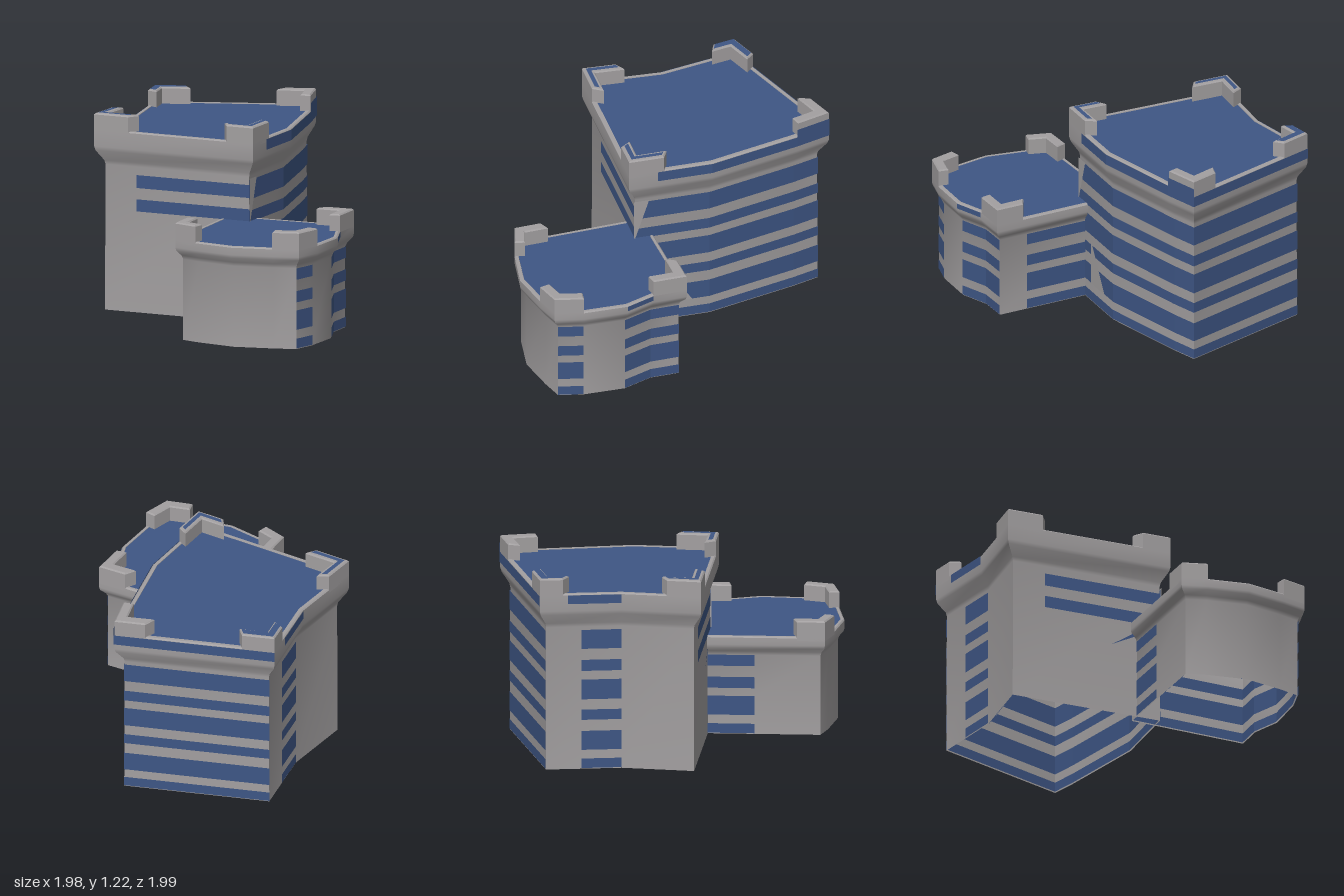
import * as THREE from 'three';
import { mergeGeometries, toCreasedNormals } from 'three/addons/utils/BufferGeometryUtils.js';

const stone = new THREE.MeshStandardMaterial({ color: 0xa3a0a1, side: THREE.DoubleSide });
stone.name = 'greyStone';
const blue = new THREE.MeshStandardMaterial({ color: 0x3e5685, side: THREE.DoubleSide });
blue.name = 'blueBrick';

// Outlines of the parapets as [x, z], starting at the front left corner seen from the front
const KEEP = [[-0.79, 0.43], [0.27, 0.28], [0.2, -0.24], [-0.02, -0.79], [-0.115, -0.995], [-0.99, -0.53], [-0.83, -0.06]];
const BASTION = [[0.16, 0.97], [0.32, 0.99], [0.58, 0.99], [0.82, 0.9], [0.97, 0.83], [0.985, 0.65], [0.95, 0.38], [0.855, 0.21], [0.82, 0], [0.005, 0.16]];
const WALL = 0.05; // how far the walls stand behind the parapet

const at = (poly, i) => poly[(i + poly.length) % poly.length];
const mix = (a, b, t) => [a[0] + (b[0] - a[0]) * t, a[1] + (b[1] - a[1]) * t];

function edge(poly, i) {
  const a = at(poly, i), b = at(poly, i + 1);
  const dx = b[0] - a[0], dz = b[1] - a[1], length = Math.hypot(dx, dz);
  return { a, b, length, n: [-dz / length, dx / length] };
}

// Mitred inward offset of an outline
function inset(poly, d) {
  return poly.map((p, i) => {
    const m = edge(poly, i - 1).n, n = edge(poly, i).n;
    const k = d / (1 + m[0] * n[0] + m[1] * n[1]);
    return [p[0] - (m[0] + n[0]) * k, p[1] - (m[1] + n[1]) * k];
  });
}

function toGeometry(positions) {
  const g = new THREE.BufferGeometry();
  g.setAttribute('position', new THREE.Float32BufferAttribute(positions, 3));
  g.computeVertexNormals();
  return g;
}

// Walls and parapet: rings of [inset, y] joined from bottom to top
function loft(poly, rings) {
  const pos = [];
  for (let r = 0; r < rings.length - 1; r++) {
    const lo = inset(poly, rings[r][0]), hi = inset(poly, rings[r + 1][0]);
    const y0 = rings[r][1], y1 = rings[r + 1][1];
    poly.forEach((_, i) => {
      const a = at(lo, i), b = at(lo, i + 1), c = at(hi, i + 1), d = at(hi, i);
      pos.push(a[0], y0, a[1], b[0], y0, b[1], c[0], y1, c[1]);
      pos.push(a[0], y0, a[1], c[0], y1, c[1], d[0], y1, d[1]);
    });
  }
  return toCreasedNormals(toGeometry(pos), 0.7);
}

// Flat painted face on wall i, given by corners [fraction along the wall, y]
function patch(poly, i, d, corners) {
  const ring = inset(poly, d), a = at(ring, i), b = at(ring, i + 1), pos = [];
  const point = ([t, y]) => { const p = mix(a, b, t); return [p[0], y, p[1]]; };
  for (let k = 1; k < corners.length - 1; k++)
    pos.push(...point(corners[0]), ...point(corners[k]), ...point(corners[k + 1]));
  return toGeometry(pos);
}
const rect = (t0, t1, y0, y1) => [[t0, y0], [t1, y0], [t1, y1], [t0, y1]];
const bands = (poly, i, d, ys, t0 = 0, t1 = 1) => ys.map(([y0, y1]) => patch(poly, i, d, rect(t0, t1, y0, y1)));

const flat = pts => new THREE.Shape(pts.map(([x, z]) => new THREE.Vector2(x, -z)));
const lay = (g, y) => g.rotateX(-Math.PI / 2).translate(0, y, 0);

// L-shaped outline around corner i
function corner(poly, i, back, fwd, thick, margin = 0) {
  const outer = inset(poly, margin), inner = inset(poly, thick - margin);
  const e = edge(poly, i - 1), f = edge(poly, i);
  const tb = 1 - (back - margin) / e.length, tf = (fwd - margin) / f.length;
  const pick = (r, j, t) => mix(at(r, j), at(r, j + 1), t);
  return flat([pick(outer, i - 1, tb), at(outer, i), pick(outer, i, tf),
    pick(inner, i, tf), at(inner, i), pick(inner, i - 1, tb)]);
}

function merlon(poly, [i, back, fwd], y0, y1) {
  const b = 0.008;
  const g = new THREE.ExtrudeGeometry(corner(poly, i, back, fwd, 0.065), {
    depth: y1 - y0 - 2 * b, bevelThickness: b, bevelSize: b, bevelOffset: -b, bevelSegments: 1 });
  return lay(g, y0 + b);
}

function add(group, name, geometry, material) {
  const m = new THREE.Mesh(Array.isArray(geometry) ? mergeGeometries(geometry) : geometry, material);
  m.name = name;
  group.add(m);
}

function tower(name, poly, rings, roofY, top, merlons) {
  const g = new THREE.Group();
  g.name = name;
  add(g, 'wallsAndParapet', loft(poly, rings), stone);
  add(g, 'roof', lay(new THREE.ShapeGeometry(flat(inset(poly, 0.025))), roofY), blue);
  merlons.forEach(m => add(g, 'cornerMerlon', merlon(poly, m, roofY - 0.03, top), stone));
  return g;
}

export function createModel() {
  const model = new THREE.Group();
  model.name = 'castle';
  const low = [[0.005, 0.065], [0.12, 0.24]];
  const keepBands = [...low, [0.31, 0.375], [0.44, 0.565], [0.62, 0.69], [0.76, 0.88]];
  const bastionBands = [...low, [0.29, 0.36], [0.43, 0.5]];
  const out = WALL - 0.004, inside = WALL + 0.004;

  // Tall tower
  const keepMerlons = [[0, 0.21, 0.23], [1, 0.18, 0.22], [4, 0.22, 0.19], [5, 0.2, 0.14]];
  const keep = tower('tallTower', KEEP,
    [[WALL - 0.002, 0], [WALL, 0.9], [0.045, 0.925], [0.006, 0.99], [0, 1.015], [0, 1.115], [0.008, 1.122], [0.028, 1.122], [0.03, 1.11]],
    1.118, 1.22, keepMerlons);
  add(keep, 'wallStripes', [
    ...[1, 2, 3, 4].flatMap(i => bands(KEEP, i, out, keepBands)),
    ...bands(KEEP, 5, out, keepBands, 0.47, 1),
    ...bands(KEEP, 0, out, [[0.625, 0.7], [0.77, 0.85]], 0.22, 1),
    patch(KEEP, 0, out, [[0.67, 0.455], [0.86, 0.55], [0.83, 0.56], [0.8, 0.535]]),
  ], blue);
  add(keep, 'plainWallPatches', [
    patch(KEEP, 1, out - 0.004, [[0, 0.6], [0.2, 0.89], [0, 0.89]]),
    patch(KEEP, 1, out - 0.004, [[0.38, 0.12], [0.77, 0.12], [0.38, 0.4]]),
  ], stone);
  add(keep, 'parapetStripes', [
    ...bands(KEEP, 1, -0.004, [[1.05, 1.115]], 0.35, 1),
    ...[2, 4].flatMap(i => bands(KEEP, i, -0.004, [[1.05, 1.115]])),
    ...bands(KEEP, 3, -0.004, [[1.05, 1.17]]),
    ...bands(KEEP, 5, -0.004, [[1.06, 1.115]], 0.35, 1),
  ], blue);
  add(keep, 'merlonCaps', [[0, 0.019], [1, 0.019], [3, 0.012]].map(([k, margin]) => {
    const [i, back, fwd] = keepMerlons[k];
    return lay(new THREE.ShapeGeometry(corner(KEEP, i, back, fwd, 0.065, margin)), 1.223);
  }), blue);
  // Stripes and arch on the inner faces of the walls
  add(keep, 'innerStripes', [
    ...[0, 1, 2, 3, 4, 6].flatMap(i => bands(KEEP, i, inside, keepBands)),
    ...bands(KEEP, 5, inside, keepBands, 0, 0.45),
  ], blue);
  const arch = [[0.25, 0.005], [0.62, 0.005]];
  for (let k = 0; k <= 8; k++) {
    const a = k * Math.PI / 8;
    arch.push([0.435 + 0.185 * Math.cos(a), 0.15 + 0.08 * Math.sin(a)]);
  }
  add(keep, 'innerArch', patch(KEEP, 6, inside + 0.004, arch), stone);
  model.add(keep);

  // Low rounded tower
  const bastion = tower('lowTower', BASTION,
    [[WALL - 0.01, 0], [WALL - 0.01, 0.5], [0.03, 0.525], [0.004, 0.555], [0, 0.575], [0, 0.62], [0.008, 0.628], [0.023, 0.628], [0.025, 0.62]],
    0.626, 0.73, [[0, 0.17, 0.16], [4, 0.165, 0.18], [8, 0.21, 0.18]]);
  const face = WALL - 0.014;
  add(bastion, 'wallStripes', [
    ...[4, 6, 7].flatMap(i => bands(BASTION, i, face, bastionBands)),
    ...bands(BASTION, 8, face, bastionBands, 0.25, 1),
    ...bands(BASTION, 9, face, bastionBands, 0.08, 0.47),
  ], blue);
  add(bastion, 'parapetStripe', bands(BASTION, 6, -0.004, [[0.59, 0.622]]), blue);
  add(bastion, 'innerStripes', [
    ...[0, 1, 2, 3, 4, 5, 6, 7, 8].flatMap(i => bands(BASTION, i, WALL - 0.004, bastionBands)),
    ...bands(BASTION, 9, WALL - 0.004, bastionBands, 0.55, 1),
  ], blue);
  model.add(bastion);
  return model;
}
